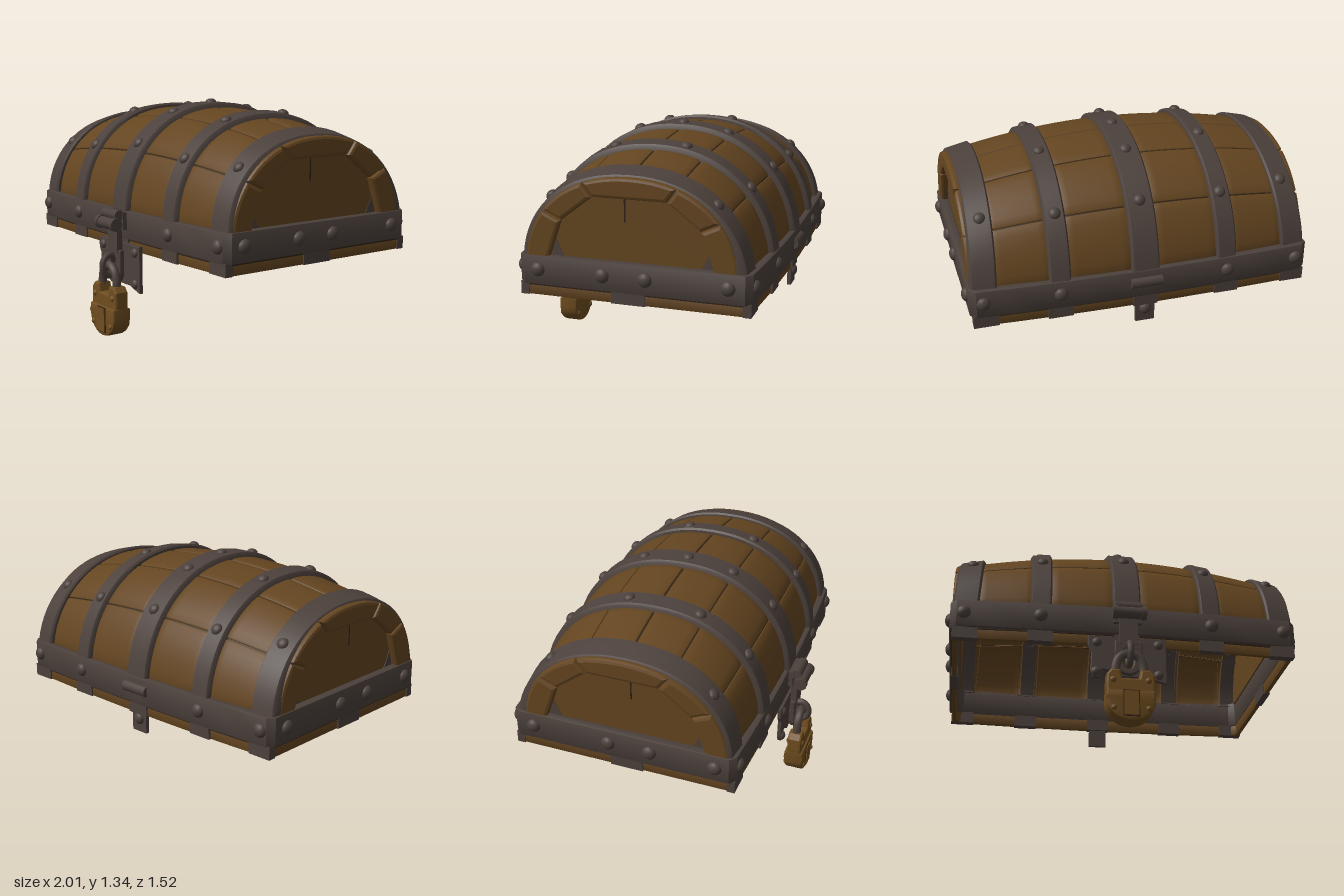
import * as THREE from 'three';
import { toCreasedNormals } from 'three/addons/utils/BufferGeometryUtils.js';

const ZC = -0.055, Y0 = 0.65, FULL = 0.92;
const rad = THREE.MathUtils.degToRad;
const cosF = t => Math.sign(Math.cos(t)) * Math.abs(Math.cos(t)) ** FULL;
const sinF = t => Math.abs(Math.sin(t)) ** FULL;

// Barrel-vault surface: x along the lid, t sweeps front (0) to back (PI)
function vault(x, t, off) {
  const k = (x / 0.9) ** 2;
  return new THREE.Vector3(x, Y0 + (0.64 - 0.11 * k + off) * sinF(t), ZC + 0.025 * Math.sin(t) + (0.655 - 0.05 * k + off) * cosF(t));
}

// Samples from a to b as [value, height factor], falling to 0 at both edges
function edged(a, b, n, e) {
  const out = [[a, 0], [a + e * 0.3, 0.75]];
  for (let i = 0; i <= n; i++) out.push([a + e + (b - a - 2 * e) * i / n, 1]);
  return [...out, [b - e * 0.3, 0.75], [b, 0]];
}

// Raised curved board or strap lying on the vault
function patch(xs, ts, lo, hi, lean = 0) {
  const pos = [], idx = [], m = ts.length;
  for (const [x, fx] of xs) for (const [t, ft] of ts) {
    const p = vault(x, t, lo + (hi - lo) * fx * ft);
    pos.push(p.x - lean * Math.sin(t), p.y, p.z);
  }
  for (let i = 0; i < xs.length - 1; i++) for (let j = 0; j < m - 1; j++) {
    const a = i * m + j, b = a + m;
    idx.push(a, b, b + 1, a, b + 1, a + 1);
  }
  const g = new THREE.BufferGeometry();
  g.setAttribute('position', new THREE.Float32BufferAttribute(pos, 3));
  g.setIndex(idx);
  return toCreasedNormals(g, 0.6);
}

// Bevelled extrusion centred on its own depth
function slab(shape, depth, bevel) {
  const d = depth - 2 * bevel;
  return new THREE.ExtrudeGeometry(shape, { depth: d, bevelEnabled: bevel > 0, bevelSize: bevel, bevelThickness: bevel, bevelOffset: -bevel, bevelSegments: 2, curveSegments: 10 }).translate(0, 0, -d / 2);
}

// Rectangle in plan with bowed long sides and clipped corners
function bowed(path, hx, hz, mid) {
  const c = 0.035, ctrl = 2 * mid - hz;
  path.moveTo(-hx + c, -hz).quadraticCurveTo(0, -ctrl, hx - c, -hz).lineTo(hx, -hz + c).lineTo(hx, hz - c)
    .lineTo(hx - c, hz).quadraticCurveTo(0, ctrl, -hx + c, hz).lineTo(-hx, hz - c).lineTo(-hx, -hz + c).lineTo(-hx + c, -hz);
  return path;
}

const polygon = pts => new THREE.Shape(pts.map(p => new THREE.Vector2(...p)));

export function createModel() {
  const root = new THREE.Group();
  root.name = 'chestLid';
  const mat = (name, color) => Object.assign(new THREE.MeshStandardMaterial({ color, side: THREE.DoubleSide }), { name });
  const wood = mat('wood', 0x644520), iron = mat('iron', 0x4c413c);
  const dark = mat('darkGap', 0x2e2117), brass = mat('brass', 0x6f4d1f);

  function add(name, geo, material, x = 0, y = 0, z = 0) {
    const m = new THREE.Mesh(geo, material);
    m.name = name;
    m.position.set(x, y, z);
    root.add(m);
    return m;
  }
  const box = (name, w, h, d, material, x, y, z) => add(name, new THREE.BoxGeometry(w, h, d), material, x, y, z);

  const UP = new THREE.Vector3(0, 1, 0);
  const dome = new THREE.SphereGeometry(1, 12, 5, 0, Math.PI * 2, 0, Math.PI / 2);
  function bolt(x, y, z, normal, r = 0.034, material = iron) {
    const m = add('bolt', dome, material, x, y, z);
    m.scale.set(r, r * 0.75, r);
    m.quaternion.setFromUnitVectors(UP, normal.clone().normalize());
  }
  const FRONT = new THREE.Vector3(0, 0, 1), BACK = new THREE.Vector3(0, 0, -1);

  // Thin staves between the straps, with dark gaps along their seams
  const seams = [5, 37, 67, 90, 113, 143, 175].map(rad);
  for (const [x0, x1] of [[-0.83, -0.52], [-0.43, -0.07], [0.07, 0.43], [0.52, 0.83]]) {
    const xs = edged(x0, x1, 8, 0.012);
    for (let i = 0; i < 6; i++) {
      add('stave', patch(xs, edged(seams[i], seams[i + 1], 7, 0.025), -0.016, 0), wood);
      if (i) add('staveGap', patch(xs, [[seams[i] - 0.008, 1], [seams[i] + 0.008, 1]], -0.016, -0.009), dark);
    }
  }

  // Iron straps, hollow behind, with their bolts
  const straps = [
    [0, 0.165, 0, [41, 68, 90, 112, 141]],
    [0.48, 0.125, 0.01, [38, 70, 103, 141]],
    [0.895, 0.15, 0.03, [43, 135]],
  ];
  for (const [cx, w, leanAmount, angles] of straps) for (const s of cx ? [-1, 1] : [1]) {
    const x = cx * s, lean = leanAmount * s;
    const xs = edged(x - w / 2, x + w / 2, 4, 0.014), ts = edged(rad(5), rad(175), 32, 0.01);
    add('strap', patch(xs, ts, -0.02, 0.028, lean), iron);
    for (const a of angles) {
      const t = rad(a), p = vault(x, t, 0.024);
      const n = new THREE.Vector3(0, Math.sin(t), Math.cos(t));
      bolt(p.x - lean, p.y, p.z, n);
      bolt(p.x - lean, p.y, p.z, n.negate(), 0.028);
    }
  }

  // End walls: thin recessed panel framed by five boards
  const arc = (a, b, t0, t1, n) => Array.from({ length: n + 1 }, (_, i) => {
    const t = rad(t0 + (t1 - t0) * i / n);
    return [a * cosF(t), Y0 + b * sinF(t)];
  });
  const cuts = [5, 36, 66, 114, 144, 175];
  for (const s of [-1, 1]) {
    const endSlab = (name, pts, depth, bevel, material, x) =>
      add(name, slab(polygon(pts), depth, bevel).rotateY(s * Math.PI / 2), material, s * x, 0, -0.04);
    endSlab('endPanel', arc(0.56, 0.49, 5, 175, 24), 0.01, 0, wood, 0.917);
    for (let i = 0; i < 5; i++) {
      const a = cuts[i] + (i ? 0.4 : 0), b = cuts[i + 1] - (i < 4 ? 0.4 : 0);
      endSlab('endFrameBoard', [...arc(0.598, 0.535, a, b, 8), ...arc(0.47, 0.455, b, a, 1)], 0.052, 0.018, wood, 0.941);
    }
    // Iron patches in the lower panel corners
    for (const c of [-1, 1]) {
      endSlab('cornerPatch', [[c * 0.46, 0.7], [c * 0.37, 0.7], [c * 0.4, 0.75], [c * 0.44, 0.84]], 0.006, 0, iron, 0.922);
    }
    box('panelCrack', 0.004, 0.13, 0.008, dark, s * 0.923, 1.005, -0.005);
  }

  // Iron rim and the wooden lip below it
  function rim(name, material, y, h, outer, inner, bevel) {
    const shape = bowed(new THREE.Shape(), ...outer);
    shape.holes.push(bowed(new THREE.Path(), ...inner));
    add(name, toCreasedNormals(slab(shape, h, bevel).rotateX(-Math.PI / 2), 0.5), material, 0, y, ZC);
  }
  rim('rimBand', iron, 0.645, 0.165, [0.975, 0.65, 0.68], [0.922, 0.6, 0.636], 0.01);
  rim('lip', wood, 0.536, 0.075, [0.955, 0.632, 0.658], [0.928, 0.608, 0.636], 0.005);
  rim('rimShadowGap', dark, 0.56, 0.012, [0.96, 0.638, 0.664], [0.935, 0.612, 0.64], 0);

  // Strap feet on the lip
  for (const s of [-1, 1]) {
    for (const x of [-0.89, -0.48, 0, 0.48, 0.89]) {
      box('strapFoot', 0.14, 0.072, 0.046, iron, x, 0.534, ZC + s * (0.645 - 0.026 * (x / 0.95) ** 2));
    }
    box('endFoot', 0.04, 0.072, 0.19, iron, s * 0.943, 0.534, -0.03);
    // Rim bolts
    for (const z of [0.48, 0.11, -0.13, -0.58]) bolt(s * 0.972, 0.65, z, new THREE.Vector3(s, 0, 0), 0.041);
    for (const x of [0.48, 0.9]) {
      const hz = 0.676 - 0.03 * (x / 0.95) ** 2;
      bolt(s * x, 0.65, ZC + hz, FRONT, 0.04);
      bolt(s * x, 0.65, ZC - hz, BACK, 0.04);
    }
  }

  // Front hasp: hinge barrels, strip and torn back plate
  function barrel(name, r, len, x, y, z) {
    add(name, new THREE.CylinderGeometry(r, r, len, 14).rotateZ(Math.PI / 2), iron, x, y, z);
  }
  box('haspCollar', 0.16, 0.1, 0.04, iron, 0, 0.67, 0.63);
  barrel('haspUpperHinge', 0.03, 0.15, 0, 0.705, 0.67);
  barrel('haspHinge', 0.033, 0.15, 0, 0.655, 0.7);
  for (const s of [-1, 1]) barrel('hingeCap', 0.038, 0.028, s * 0.08, 0.655, 0.7);
  box('haspStrip', 0.1, 0.16, 0.035, iron, 0, 0.56, 0.655);
  const tip = new THREE.Shape().moveTo(-0.075, 0.5).lineTo(-0.075, 0.36).absarc(0, 0.375, 0.075, Math.PI, Math.PI * 2, false).lineTo(0.075, 0.5);
  tip.holes.push(new THREE.Path().absellipse(0, 0.4, 0.032, 0.07, 0, Math.PI * 2));
  add('haspTip', slab(tip, 0.03, 0.006), iron, 0, 0, 0.655);
  const plate = polygon([[-0.22, 0.54], [-0.22, 0.48], [-0.2, 0.44], [-0.205, 0.33], [-0.19, 0.295], [-0.155, 0.29],
    [-0.14, 0.34], [-0.09, 0.33], [-0.07, 0.3], [0.08, 0.3], [0.12, 0.3], [0.16, 0.285], [0.215, 0.27], [0.215, 0.54]]);
  plate.holes.push(new THREE.Path().absellipse(0, 0.4, 0.032, 0.07, 0, Math.PI * 2));
  add('haspPlate', slab(plate, 0.024, 0.004), iron, 0, 0, 0.618);
  for (const [x, y] of [[-0.17, 0.5], [0.17, 0.5], [-0.175, 0.325], [0.17, 0.32]]) bolt(x, y, 0.628, FRONT, 0.028);
  add('staple', new THREE.TorusGeometry(0.052, 0.018, 8, 20).rotateY(Math.PI / 2), iron, 0, 0.41, 0.69).scale.y = 1.15;

  // Padlock
  const LZ = 0.695;
  const bow = new THREE.CatmullRomCurve3([[-0.075, 0.24], [-0.075, 0.33], [-0.053, 0.385], [0, 0.41], [0.053, 0.385], [0.075, 0.33], [0.075, 0.24]]
    .map(([x, y]) => new THREE.Vector3(x, y, 0)));
  add('shackle', new THREE.TubeGeometry(bow, 24, 0.025, 8), iron, 0, 0, LZ);
  const shoulders = polygon([[-0.125, 0.1], [0.125, 0.1], [0.132, 0.2], [0.13, 0.27], [0.105, 0.3], [0.055, 0.3], [0.045, 0.25],
    [-0.045, 0.25], [-0.055, 0.3], [-0.105, 0.3], [-0.13, 0.27], [-0.132, 0.2]]);
  add('lockShoulders', slab(shoulders, 0.085, 0.012), brass, 0, 0, LZ);
  const body = new THREE.Shape().moveTo(0.132, 0.175).lineTo(-0.132, 0.175).lineTo(-0.132, 0.11)
    .absellipse(0, 0.12, 0.132, 0.12, Math.PI, Math.PI * 2, false).lineTo(0.132, 0.175);
  add('lockBody', toCreasedNormals(slab(body, 0.115, 0.014), 0.5), brass, 0, 0, LZ);
  box('keyholeGap', 0.088, 0.148, 0.004, dark, 0, 0.098, LZ + 0.058);
  box('keyholeCover', 0.076, 0.136, 0.012, brass, 0, 0.098, LZ + 0.06);
  for (const s of [-1, 1]) for (const [n, d] of [[FRONT, 1], [BACK, -1]]) {
    bolt(s * 0.092, 0.07, LZ + d * 0.056, n, 0.016, brass);
    bolt(s * 0.095, 0.235, LZ + d * 0.041, n, 0.018, brass);
  }

  // Rear hinge and its hanging tab
  barrel('rearHinge', 0.032, 0.18, 0, 0.655, -0.728);
  box('rearTab', 0.11, 0.2, 0.022, iron, 0, 0.49, -0.702);
  bolt(0, 0.47, -0.711, BACK, 0.036);
  return root;
}
